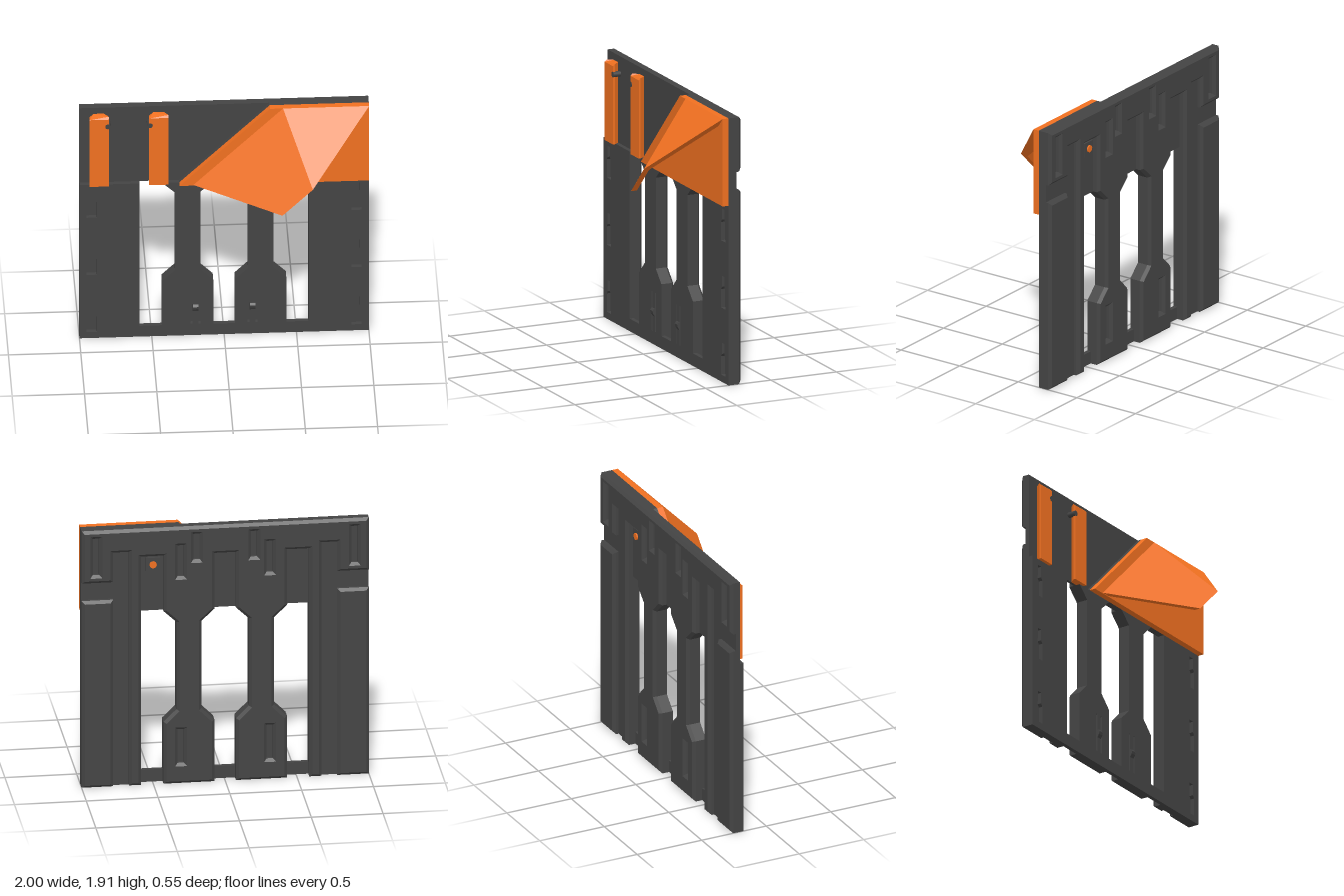
import * as THREE from 'three';

const grey = new THREE.MeshStandardMaterial({ color: 0x444444 });
const orange = new THREE.MeshStandardMaterial({ color: 0xf07020 });

const shapeOf = (pts, holes = []) => {
  const s = new THREE.Shape(pts.map(p => new THREE.Vector2(...p)));
  s.holes = holes.map(h => new THREE.Path(h.map(p => new THREE.Vector2(...p))));
  return s;
};
const rect = (x0, x1, y0, y1) => [[x0, y0], [x1, y0], [x1, y1], [x0, y1]];
const mirror = pts => pts.map(([x, y]) => [-x, y]).reverse();

export function createModel() {
  const group = new THREE.Group();
  const add = (name, geo, mat, x = 0, y = 0, z = 0) => {
    const m = new THREE.Mesh(geo, mat);
    m.name = name;
    m.position.set(x, y, z);
    group.add(m);
    return m;
  };
  // straight slab between two depths
  const slab = (name, shape, z0, z1, mat) => add(name,
    new THREE.ExtrudeGeometry(shape, { depth: z1 - z0, bevelEnabled: false }), mat, 0, 0, z0);
  // slab with a chamfer on its rear edges only
  const chamferedSlab = (name, shape) => {
    const c = 0.02;
    const geo = new THREE.ExtrudeGeometry(shape, {
      depth: 0.02, bevelThickness: c, bevelSize: c, bevelOffset: -c, bevelSegments: 1,
    });
    const p = geo.attributes.position;
    for (let i = 0; i < p.count; i++) p.setZ(i, Math.min(p.getZ(i), 0.02));
    add(name, geo, grey, 0, 0, -0.255);
  };

  // edges of the +x column, bottom to top
  const outerEdge = y0 => [[0.43, y0], [0.43, 0.46], [0.34, 0.55], [0.34, 1.2], [0.43, 1.285]];
  const innerEdge = y0 => [[0.075, y0], [0.075, 0.46], [0.165, 0.55], [0.165, 1.2], [0.075, 1.285]];

  // front skin with windows, keyhole slots and slits
  const sideWindow = [...outerEdge(0.09), [0.585, 1.285], [0.585, 0.09]];
  const midWindow = [...innerEdge(0.09), ...mirror(innerEdge(0.09))];
  const holes = [sideWindow, midWindow];
  for (const s of [-1, 1]) {
    for (const y of [0.05, 0.53, 1.01]) {
      const k = s * 0.915;
      holes.push([[k - 0.035, y], [k + 0.035, y], [k + 0.035, y + 0.13], [k + 0.02, y + 0.15],
        [k + 0.02, y + 0.23], [k - 0.02, y + 0.23], [k - 0.02, y + 0.15], [k - 0.035, y + 0.13]]);
    }
    for (const x of [0.17, 0.225]) holes.push(rect(s * x - 0.007, s * x + 0.007, 0.095, 0.375));
  }
  const skin = [[-1, 0], [1, 0], [1, 1.91], [0.315, 1.91], [-0.31, 1.285],
    ...outerEdge(0.09).reverse().map(([x, y]) => [-x, y]),
    [-0.585, 0.09], [-0.585, 1.285], [-1, 1.285]];
  slab('frontSkin', shapeOf(skin, holes), -0.205, -0.175, grey);

  // thin lip closing the pockets above the windows
  add('pocketLip', new THREE.BoxGeometry(1.2, 0.435, 0.02), grey, 0, 1.5025, -0.215);

  // core layer: four legs hanging from a top band
  const halfComb = [[0.075, 1.7], ...innerEdge(0).reverse(), ...outerEdge(0), [0.43, 1.7], [0.585, 1.7], [0.585, 0]];
  const coreHalf = [...halfComb, [1, 0], [1, 1.91]];
  slab('core', shapeOf([...coreHalf, ...mirror(coreHalf)]), -0.235, -0.205, grey);

  // rear layer: the same legs with a groove, cross notch and hanging slots
  const rearHalf = [...halfComb, [0.67, 0], [0.67, 1.74], [0.78, 1.74], [0.78, 1.52], [1, 1.52], [1, 1.91]];
  const rearSlots = [];
  for (const s of [-1, 1]) {
    for (const [x, y0, y1] of [[0.31, 0.15, 0.4], [0.31, 1.54, 1.77], [0.2, 1.66, 1.85], [0.9, 1.58, 1.85]])
      rearSlots.push(rect(s * x - 0.022, s * x + 0.022, y0, y1));
  }
  chamferedSlab('rearRibs', shapeOf([...rearHalf, ...mirror(rearHalf)], rearSlots));
  for (const r of [rect(0.78, 1, 0, 1.39), rect(-1, -0.78, 0, 1.39)]) chamferedSlab('rearSidePanel', shapeOf(r));

  // latch bumps between the slits
  for (const s of [-1, 1]) {
    const bump = new THREE.ExtrudeGeometry(
      shapeOf([[0, 0.2], [0.015, 0.225], [0.02, 0.245], [0.01, 0.26], [0, 0.26]]), { depth: 0.04, bevelEnabled: false });
    bump.rotateY(-Math.PI / 2);
    add('latchBump', bump, grey, s * 0.197 + 0.02, 0, -0.176);
  }

  // dovetail rails with detents
  for (const [x, side] of [[-0.865, 1], [-0.452, -1]]) {
    const rail = new THREE.ExtrudeGeometry(
      shapeOf([[-0.035, 0.205], [-0.067, 0.165], [-0.067, 0.15], [0.067, 0.15], [0.067, 0.165], [0.035, 0.205]].reverse()),
      { depth: 0.575, bevelEnabled: false });
    rail.rotateX(-Math.PI / 2);
    const p = rail.attributes.position;
    // sloped top end
    for (let i = 0; i < p.count; i++)
      if (p.getY(i) > 0.5 && p.getZ(i) > -0.16) p.setY(i, 0.56);
    rail.computeVertexNormals();
    add('dovetailRail', rail, orange, x, 1.285, 0);
    const detent = add('railDetent', new THREE.CylinderGeometry(0.02, 0.02, 0.057, 12), grey, x + side * 0.062, 1.785, -0.177);
    detent.rotation.x = Math.PI / 2;
  }

  // hood mounting plate
  slab('hoodPlate', shapeOf([[-0.31, 1.285], [1, 1.285], [1, 1.91], [0.315, 1.91]]), -0.175, -0.13, orange);

  // hollow hood, open below and along the diagonal
  const V = {
    A: [-0.215, 1.29, -0.13], B: [0.405, 1.91, -0.13], C: [1, 1.91, -0.13], D: [0.59, 1.5, 0.275], E: [0.38, 1.29, 0.275],
    a: [-0.15, 1.29, -0.13], b: [0.405, 1.845, -0.13], c: [0.935, 1.845, -0.13], d: [0.575, 1.485, 0.23], e: [0.38, 1.29, 0.23],
  };
  const pos = [];
  for (const f of ['AEDB', 'BDC', 'abde', 'bcd', 'AaeE', 'EedD', 'DdcC'])
    for (let i = 1; i < f.length - 1; i++) pos.push(...V[f[0]], ...V[f[i]], ...V[f[i + 1]]);
  const hood = new THREE.BufferGeometry();
  hood.setAttribute('position', new THREE.Float32BufferAttribute(pos, 3));
  hood.computeVertexNormals();
  add('hood', hood, orange);

  // fastener seen in the rear pocket
  add('fastenerBoss', new THREE.BoxGeometry(0.1, 0.1, 0.02), grey, 0.5, 1.63, -0.23);
  const pin = add('fastener', new THREE.CylinderGeometry(0.025, 0.025, 0.02, 16), orange, 0.5, 1.63, -0.24);
  pin.rotation.x = Math.PI / 2;

  return group;
}
